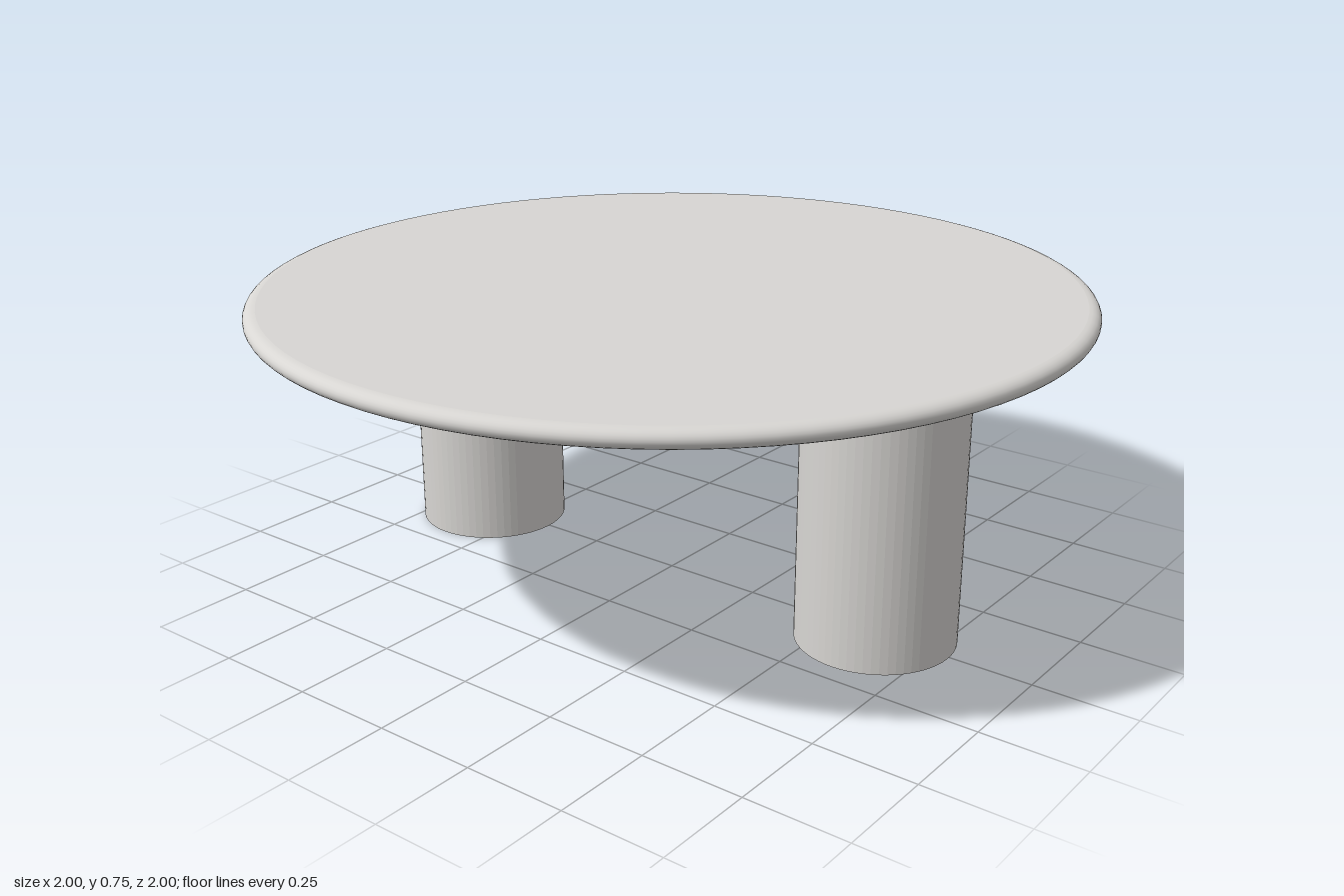
import * as THREE from 'three';

export function createModel() {
  const group = new THREE.Group();
  const stone = new THREE.MeshStandardMaterial({ color: 0xd8d6d3 });
  stone.name = 'pale stone';
  const stoneFaceted = new THREE.MeshStandardMaterial({ color: 0xd8d6d3, flatShading: true });
  stoneFaceted.name = 'pale stone faceted';

  const bottom = 0.7, top = 0.745, radius = 1, segments = 96;
  const half = (top - bottom) / 2, mid = (top + bottom) / 2;
  const bevel = 0.03, flatRadius = radius - bevel;

  // Tabletop: bullnose rim, closed by two flat discs
  const tabletop = new THREE.Group();
  tabletop.name = 'tabletop';
  const profile = [];
  for (let i = 0; i <= 12; i++) {
    const a = -Math.PI / 2 + (Math.PI * i) / 12;
    profile.push(new THREE.Vector2(flatRadius + bevel * Math.cos(a), mid + half * Math.sin(a)));
  }
  const rim = new THREE.Mesh(new THREE.LatheGeometry(profile, segments), stone);
  rim.name = 'tabletopRim';
  tabletop.add(rim);
  for (const [name, y, tilt] of [['tabletopSurface', top, -1], ['tabletopUnderside', bottom, 1]]) {
    const disc = new THREE.Mesh(new THREE.CircleGeometry(flatRadius, segments, Math.PI / 2), stone);
    disc.name = name;
    disc.rotation.x = (tilt * Math.PI) / 2;
    disc.position.y = y;
    tabletop.add(disc);
  }
  group.add(tabletop);

  // Two cylindrical pedestal legs
  for (const [name, x] of [['leftLeg', 0.605], ['rightLeg', -0.605]]) {
    const leg = new THREE.Mesh(new THREE.CylinderGeometry(0.19, 0.19, bottom, 64), stoneFaceted);
    leg.name = name;
    leg.position.set(x, bottom / 2, 0.01);
    group.add(leg);
  }
  return group;
}
